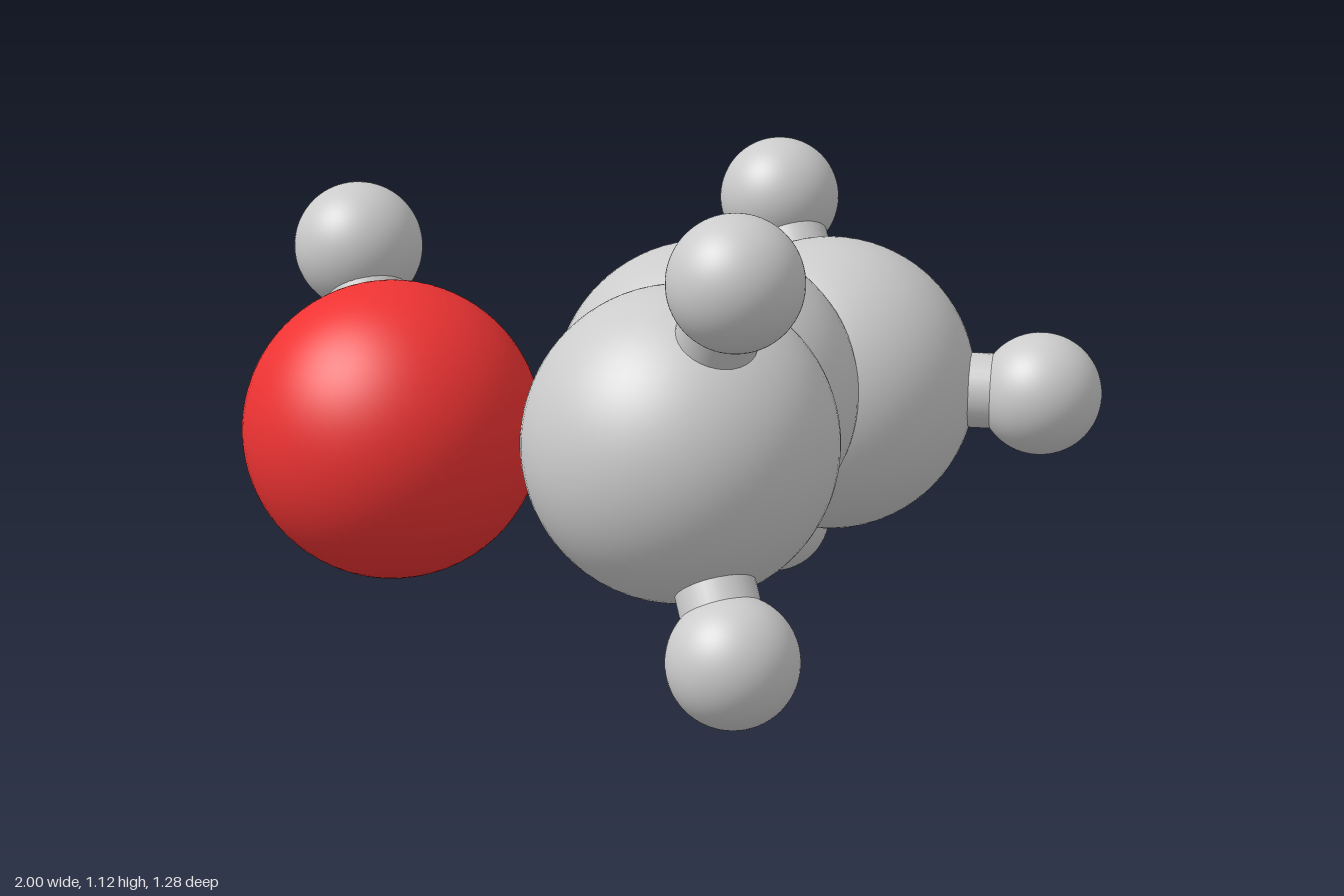
import * as THREE from 'three';

const grey = new THREE.MeshStandardMaterial({ color: 0xcccccc });
const red = new THREE.MeshStandardMaterial({ color: 0xee3333 });
const BOND_RADIUS = 0.09;

// name: [radius, x, y, z, material]
const atoms = {
  oxygen: [0.335, -0.665, 0.566, -0.21, red],
  carbonLeft: [0.352, 0.443, 0.566, -0.191, grey],
  carbonMiddle: [0.352, 0.047, 0.608, -0.062, grey],
  carbonRight: [0.352, -0.148, 0.566, 0.2, grey],
  hydroxylHydrogen: [0.146, -0.647, 0.944, -0.455, grey],
  rightUpperHydrogen: [0.146, -0.167, 0.974, 0.497, grey],
  rightLowerHydrogen: [0.146, -0.167, 0.151, 0.49, grey],
  leftUpperHydrogen: [0.146, 0.461, 0.977, -0.484, grey],
  leftLowerHydrogen: [0.146, 0.452, 0.163, -0.495, grey],
  leftOuterHydrogen: [0.146, 0.852, 0.558, 0.107, grey],
};

const bonds = [
  ['oxygen', 'carbonRight'],
  ['carbonRight', 'carbonMiddle'],
  ['carbonMiddle', 'carbonLeft'],
  ['oxygen', 'hydroxylHydrogen'],
  ['carbonRight', 'rightUpperHydrogen'],
  ['carbonRight', 'rightLowerHydrogen'],
  ['carbonLeft', 'leftUpperHydrogen'],
  ['carbonLeft', 'leftLowerHydrogen'],
  ['carbonLeft', 'leftOuterHydrogen'],
];

const centre = (name) => new THREE.Vector3(...atoms[name].slice(1, 4));

// Straight rod between two atom centres
function makeBond(from, to) {
  const a = centre(from);
  const b = centre(to);
  const direction = b.clone().sub(a);
  const geometry = new THREE.CylinderGeometry(BOND_RADIUS, BOND_RADIUS, direction.length(), 32, 1, true);
  const bond = new THREE.Mesh(geometry, grey);
  bond.position.copy(a).add(b).multiplyScalar(0.5);
  bond.quaternion.setFromUnitVectors(new THREE.Vector3(0, 1, 0), direction.normalize());
  bond.name = `bond ${from} to ${to}`;
  return bond;
}

export function createModel() {
  const model = new THREE.Group();
  model.name = 'molecule';

  // Atom spheres
  for (const [name, [radius, , , , material]] of Object.entries(atoms)) {
    const atom = new THREE.Mesh(new THREE.SphereGeometry(radius, 64, 40), material);
    atom.position.copy(centre(name));
    atom.name = name;
    model.add(atom);
  }

  // Connecting rods
  for (const [from, to] of bonds) model.add(makeBond(from, to));

  return model;
}
